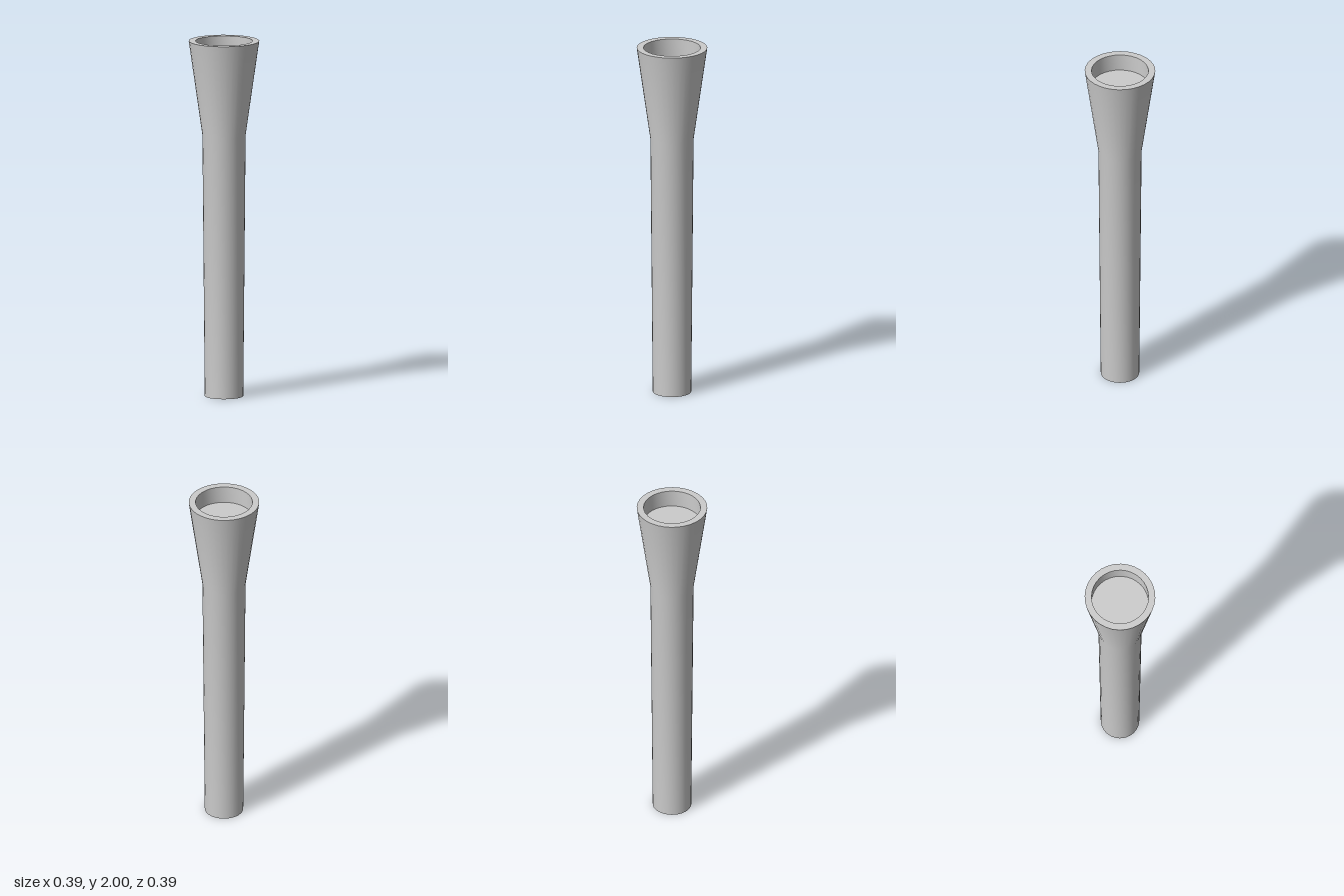
import * as THREE from 'three';
import { toCreasedNormals } from 'three/addons/utils/BufferGeometryUtils.js';

const SIDES = 32;

// Revolve a list of [radius, height] pairs, keeping the hard edges sharp
function revolve(name, profile, material) {
  const points = profile.map(([r, y]) => new THREE.Vector2(r, y));
  const mesh = new THREE.Mesh(toCreasedNormals(new THREE.LatheGeometry(points, SIDES), 0.6), material);
  mesh.name = name;
  return mesh;
}

export function createModel() {
  const group = new THREE.Group();
  group.name = 'flaredHandle';
  const material = new THREE.MeshStandardMaterial({ color: 0xcccccc });

  // Closed base, slightly tapered shaft and flared head
  group.add(revolve('shaft', [[0, 0], [0.107, 0], [0.12, 1.47], [0.196, 2]], material));

  // Flat rim around a shallow round recess
  group.add(revolve('rimAndRecess', [[0.196, 2], [0.158, 2], [0.158, 1.9], [0, 1.9]], material));

  return group;
}
